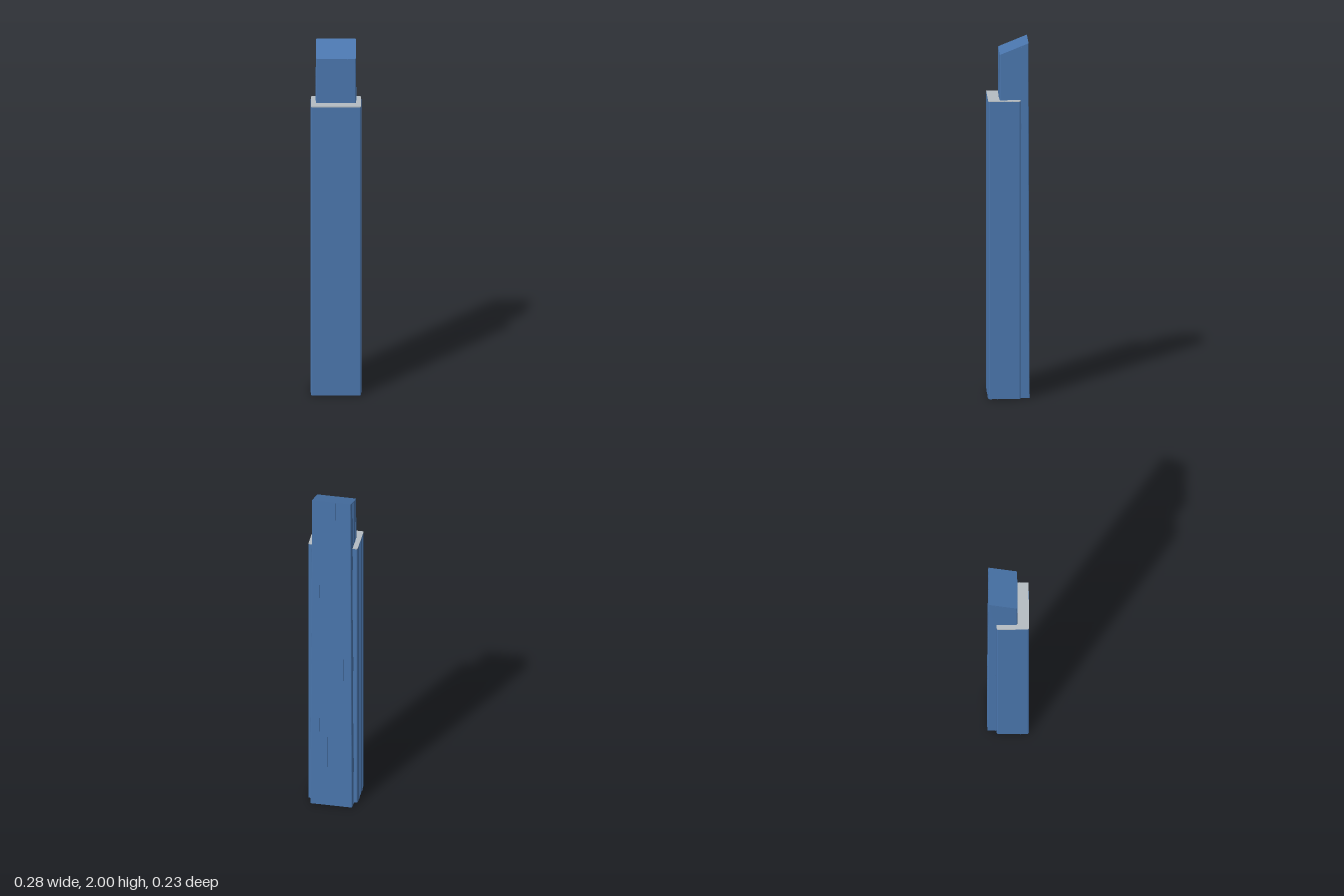
import * as THREE from 'three';

const blueGlass = new THREE.MeshStandardMaterial({ color: 0x4a76ad });
const terraceGrey = new THREE.MeshStandardMaterial({ color: 0xb4bcc2 });

const BLOCK_TOP = 1.68;
const TOWER_Z = -0.03;

// Vertical prism on a rounded rectangle centred at (0, z)
function prism(halfW, halfD, z, radius, height) {
  const s = new THREE.Shape();
  const a = halfW - radius, b = halfD - radius;
  s.absarc(a, b, radius, 0, Math.PI / 2);
  s.absarc(-a, b, radius, Math.PI / 2, Math.PI);
  s.absarc(-a, -b, radius, Math.PI, Math.PI * 1.5);
  s.absarc(a, -b, radius, Math.PI * 1.5, Math.PI * 2);
  const g = new THREE.ExtrudeGeometry(s, { depth: height, bevelEnabled: false, curveSegments: 4 });
  return g.rotateX(-Math.PI / 2).translate(0, 0, z);
}

// Narrow the tower upwards and slope its roof down to the front
function taper(g) {
  const p = g.attributes.position;
  for (let i = 0; i < p.count; i++) {
    const t = p.getY(i) / 2;
    const x = p.getX(i) * (1 - 0.075 * t);
    const z = TOWER_Z + (p.getZ(i) - TOWER_Z) * (1 - 0.075 * t);
    const roof = Math.min(2, 1.935 + 0.065 * (0.05 - z) / 0.16);
    p.setXYZ(i, x, t * roof, z);
  }
  g.computeVertexNormals();
  return g;
}

export function createModel() {
  const group = new THREE.Group();
  const add = (name, geometry, material) => {
    const m = new THREE.Mesh(geometry, material);
    m.name = name;
    group.add(m);
  };

  // Front block with its pale terrace
  add('frontBlock', prism(0.138, 0.0885, 0.025, 0.008, BLOCK_TOP - 0.004), blueGlass);
  add('terrace', prism(0.138, 0.0885, 0.025, 0.008, 0.004).translate(0, BLOCK_TOP - 0.004, 0), terraceGrey);

  // Tapered tower with a sloping roof
  add('tower', taper(prism(0.118, 0.0855, TOWER_Z, 0.006, 2)), blueGlass);

  // Slim vertical fins
  const fin = (w, h, d, x, z) => new THREE.BoxGeometry(w, h, d).translate(x, h / 2, z);
  for (const x of [-0.088, -0.044, 0, 0.044, 0.088]) {
    add('blockFrontFin', fin(0.002, BLOCK_TOP - 0.002, 0.004, x, 0.1132), blueGlass);
  }
  for (const side of [-1, 1]) {
    for (const z of [-0.018, 0.023, 0.065]) {
      add('blockSideFin', fin(0.004, BLOCK_TOP - 0.002, 0.002, side * 0.138, z), blueGlass);
    }
    for (const z of [-0.072, -0.03, 0.012]) {
      add('towerSideFin', taper(fin(0.003, 1.995, 0.002, side * 0.118, z)), blueGlass);
    }
    for (const x of [-0.069, -0.023, 0.023, 0.069]) {
      add('towerFin', taper(fin(0.002, 1.995, 0.003, x, TOWER_Z + side * 0.0855)), blueGlass);
    }
  }
  return group;
}
